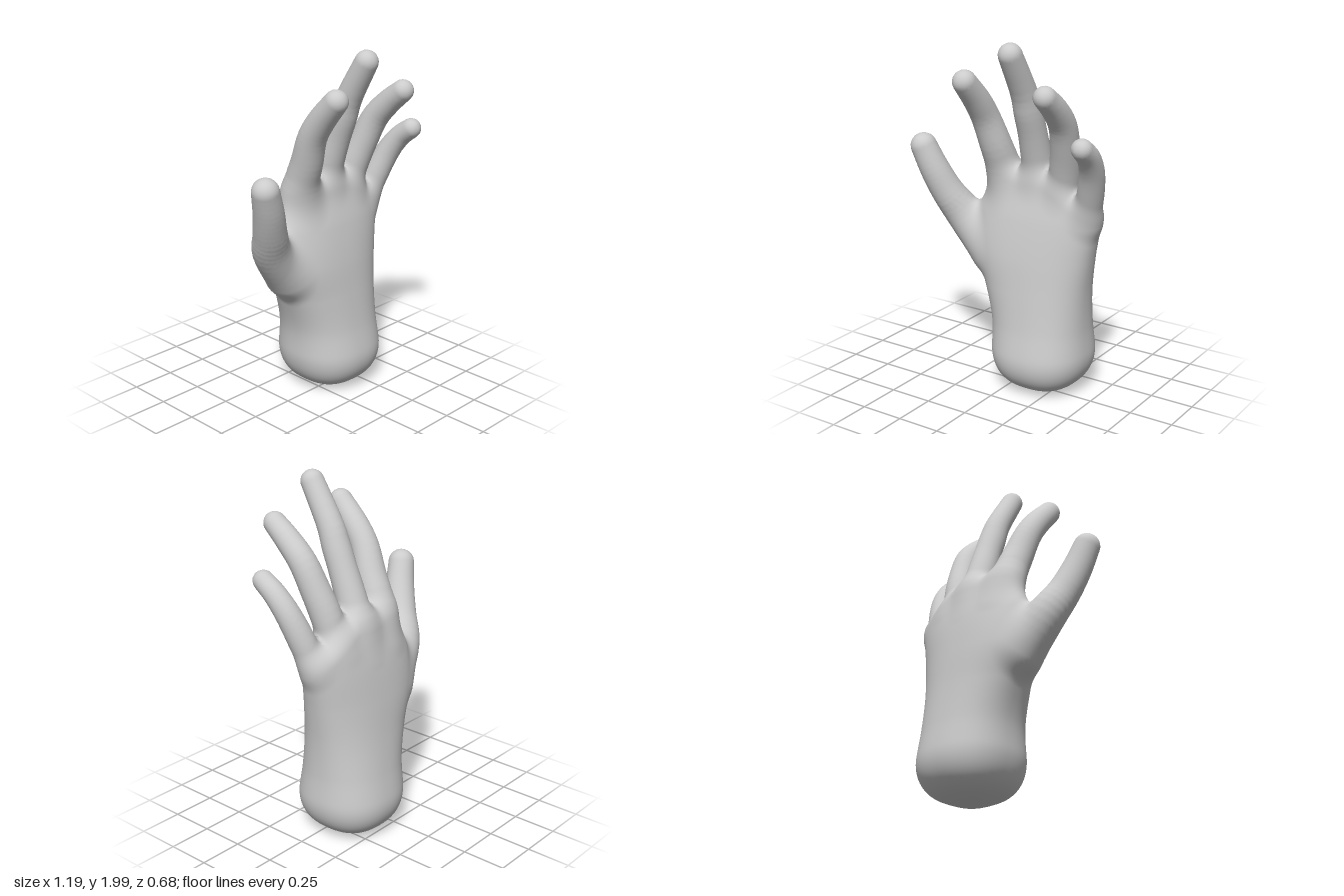
import * as THREE from 'three';

// Smooth spline through rows of [t, a, b, c, d]
function spline(rows) {
  return new THREE.CubicInterpolant(rows.map(r => r[0]), rows.flatMap(r => r.slice(1)), 4);
}

// Smooth union of two distances; k is the width of the blend
function blend(a, b, k) {
  const h = Math.max(k - Math.abs(a - b), 0) / k;
  return Math.min(a, b) - h * h * k / 4;
}

// Digit centrelines from tip to root: x, y, z, radius
const DIGITS = {
  thumb: [[-0.525, 1.355, 0.137, 0.074], [-0.475, 1.22, 0.105, 0.083], [-0.42, 1.08, 0.055, 0.092],
    [-0.345, 0.94, -0.01, 0.108], [-0.2, 0.75, -0.05, 0.12]],
  indexFinger: [[-0.145, 1.775, 0.265, 0.065], [-0.14, 1.66, 0.16, 0.074], [-0.135, 1.55, 0.085, 0.079],
    [-0.115, 1.4, 0.025, 0.088], [-0.1, 1.25, -0.035, 0.095], [-0.07, 1.05, -0.07, 0.09]],
  middleFinger: [[0.12, 1.935, 0.23, 0.064], [0.122, 1.73, 0.11, 0.072], [0.122, 1.61, 0.063, 0.078],
    [0.12, 1.49, 0.018, 0.079], [0.115, 1.35, -0.03, 0.085], [0.115, 1.2, -0.075, 0.09], [0.115, 1.02, -0.09, 0.08]],
  ringFinger: [[0.36, 1.75, 0.278, 0.061], [0.36, 1.67, 0.18, 0.069], [0.352, 1.57, 0.09, 0.075],
    [0.33, 1.43, 0.027, 0.08], [0.3, 1.28, -0.025, 0.085], [0.27, 1.08, -0.07, 0.08]],
  littleFinger: [[0.533, 1.493, 0.2, 0.057], [0.528, 1.43, 0.12, 0.062], [0.508, 1.33, 0.05, 0.068],
    [0.47, 1.19, -0.005, 0.073], [0.425, 1.03, -0.05, 0.07]],
};

// Wrist and palm cross-sections: y, left x, right x, back z, front z
const PALM = spline([
  [0, -0.13, 0.43, -0.345, 0.22], [0.2, -0.135, 0.437, -0.342, 0.218], [0.4, -0.145, 0.425, -0.31, 0.185],
  [0.6, -0.205, 0.43, -0.28, 0.16], [0.8, -0.29, 0.455, -0.255, 0.135], [1.0, -0.27, 0.488, -0.222, 0.095],
  [1.15, -0.21, 0.5, -0.185, 0.055], [1.3, -0.18, 0.47, -0.145, 0.03],
]);

// Distance to the palm: rounded cross-sections, a domed wrist end and a knuckle edge
function palmDistance(x, y, z) {
  const [x0, x1, z0, z1] = PALM.evaluate(Math.min(Math.max(y, 0), 1.3));
  const a = (x1 - x0) / 2, b = (z1 - z0) / 2, p = 2.3;
  const u = Math.abs(x - (x0 + x1) / 2) / a, v = Math.abs(z - (z0 + z1) / 2) / b;
  const g = Math.max((u ** p + v ** p) ** (1 / p), 1e-4);
  const slope = g ** (1 - p) * Math.hypot(u ** (p - 1) / a, v ** (p - 1) / b);
  let d = (g - 1) / Math.max(slope, 1e-4);
  d = -blend(-d, y - 0.005, 0.25);
  const knuckles = 1.27 - 0.6 * Math.max(0, x - 0.2);
  return -blend(-d, knuckles - y, 0.08);
}

// Distance to a digit: a chain of tapered capsules along its centreline
function digitDistance(points) {
  const curve = spline(points.map((p, i) => [i, ...p]));
  const n = 20, chain = [];
  for (let i = 0; i <= n; i++) chain.push([...curve.evaluate(i / n * (points.length - 1))]);
  return (x, y, z) => {
    let best = Infinity;
    for (let i = 0; i < n; i++) {
      const A = chain[i], B = chain[i + 1];
      const dx = B[0] - A[0], dy = B[1] - A[1], dz = B[2] - A[2];
      const px = x - A[0], py = y - A[1], pz = z - A[2];
      const t = Math.min(1, Math.max(0, (px * dx + py * dy + pz * dz) / (dx * dx + dy * dy + dz * dz)));
      const qx = px - t * dx, qy = py - t * dy, qz = pz - t * dz;
      best = Math.min(best, Math.sqrt(qx * qx + qy * qy + qz * qz) - A[3] - t * (B[3] - A[3]));
    }
    return best;
  };
}

const NAMES = ['palm', ...Object.keys(DIGITS)];
const FIELDS = [palmDistance, ...Object.values(DIGITS).map(digitDistance)];

// The whole hand: digits joined softly, then merged into the palm
function hand(x, y, z) {
  let d = FIELDS[1](x, y, z);
  for (let i = 2; i < FIELDS.length; i++) d = blend(d, FIELDS[i](x, y, z), 0.03);
  return blend(d, FIELDS[0](x, y, z), 0.07);
}

function gradient([x, y, z]) {
  const e = 0.008;
  return [hand(x + e, y, z) - hand(x - e, y, z), hand(x, y + e, z) - hand(x, y - e, z),
    hand(x, y, z + e) - hand(x, y, z - e)].map(v => v / (2 * e));
}

// Skin the hand with one vertex per surface cell; returns quads as lists of vertices
function skin() {
  const s = 0.018, min = [-0.66, -0.05, -0.41];
  const size = [74, 118, 45], step = [1, size[0], size[0] * size[1]];
  const values = new Float32Array(size[0] * size[1] * size[2]);
  const at = (i, j, k) => [min[0] + i * s, min[1] + j * s, min[2] + k * s];
  const each = (from, to, fn) => {
    for (let k = from; k < size[2] - to; k++)
      for (let j = from; j < size[1] - to; j++)
        for (let i = from; i < size[0] - to; i++) fn(i, j, k, i + j * step[1] + k * step[2]);
  };
  each(0, 0, (i, j, k, id) => { values[id] = hand(...at(i, j, k)); });

  // Vertices: average the crossings on each cell's edges, then settle on the surface
  const cells = new Map();
  each(0, 1, (i, j, k, id) => {
    const sum = [0, 0, 0];
    let count = 0;
    for (let c = 0; c < 8; c++) {
      for (let a = 0; a < 3; a++) {
        if (c >> a & 1) continue;
        const corner = [c & 1, c >> 1 & 1, c >> 2 & 1];
        const v0 = id + corner[0] * step[0] + corner[1] * step[1] + corner[2] * step[2];
        const f0 = values[v0], f1 = values[v0 + step[a]];
        if (f0 < 0 === f1 < 0) continue;
        corner[a] += f0 / (f0 - f1);
        corner.forEach((v, m) => { sum[m] += v; });
        count++;
      }
    }
    if (!count) return;
    let position = at(i + sum[0] / count, j + sum[1] / count, k + sum[2] / count);
    const g = gradient(position);
    const length = Math.hypot(...g) || 1;
    const move = Math.max(-s, Math.min(s, hand(...position) / length)) / length;
    position = position.map((v, m) => v - g[m] * move);
    const normal = new THREE.Vector3(...gradient(position)).normalize().toArray();
    cells.set(id, { position, normal });
  });

  // Quads: one around every grid edge that passes through the surface
  const quads = [];
  each(1, 1, (i, j, k, id) => {
    for (let a = 0; a < 3; a++) {
      const inside = values[id] < 0;
      if (inside === values[id + step[a]] < 0) continue;
      const b = step[(a + 1) % 3], c = step[(a + 2) % 3];
      const quad = [id, id - b, id - b - c, id - c].map(n => cells.get(n));
      quads.push(inside ? quad : quad.reverse());
    }
  });
  return quads;
}

export function createModel() {
  const group = new THREE.Group();
  group.name = 'hand';
  const material = new THREE.MeshStandardMaterial({ color: 0xcccccc });
  const parts = NAMES.map(() => ({ positions: [], normals: [], index: [], seen: new Map() }));

  // Give each quad to the nearest part; shared normals keep the seams invisible
  for (const quad of skin()) {
    const centre = [0, 1, 2].map(m => quad.reduce((t, v) => t + v.position[m], 0) / 4);
    const distances = FIELDS.map(f => f(...centre));
    const part = parts[distances.indexOf(Math.min(...distances))];
    const [a, b, c, d] = quad.map(v => {
      if (!part.seen.has(v)) {
        part.seen.set(v, part.seen.size);
        part.positions.push(...v.position);
        part.normals.push(...v.normal);
      }
      return part.seen.get(v);
    });
    part.index.push(a, b, c, a, c, d);
  }

  parts.forEach((part, i) => {
    const geometry = new THREE.BufferGeometry();
    geometry.setAttribute('position', new THREE.Float32BufferAttribute(part.positions, 3));
    geometry.setAttribute('normal', new THREE.Float32BufferAttribute(part.normals, 3));
    geometry.setIndex(part.index);
    const mesh = new THREE.Mesh(geometry, material);
    mesh.name = NAMES[i];
    group.add(mesh);
  });
  return group;
}
